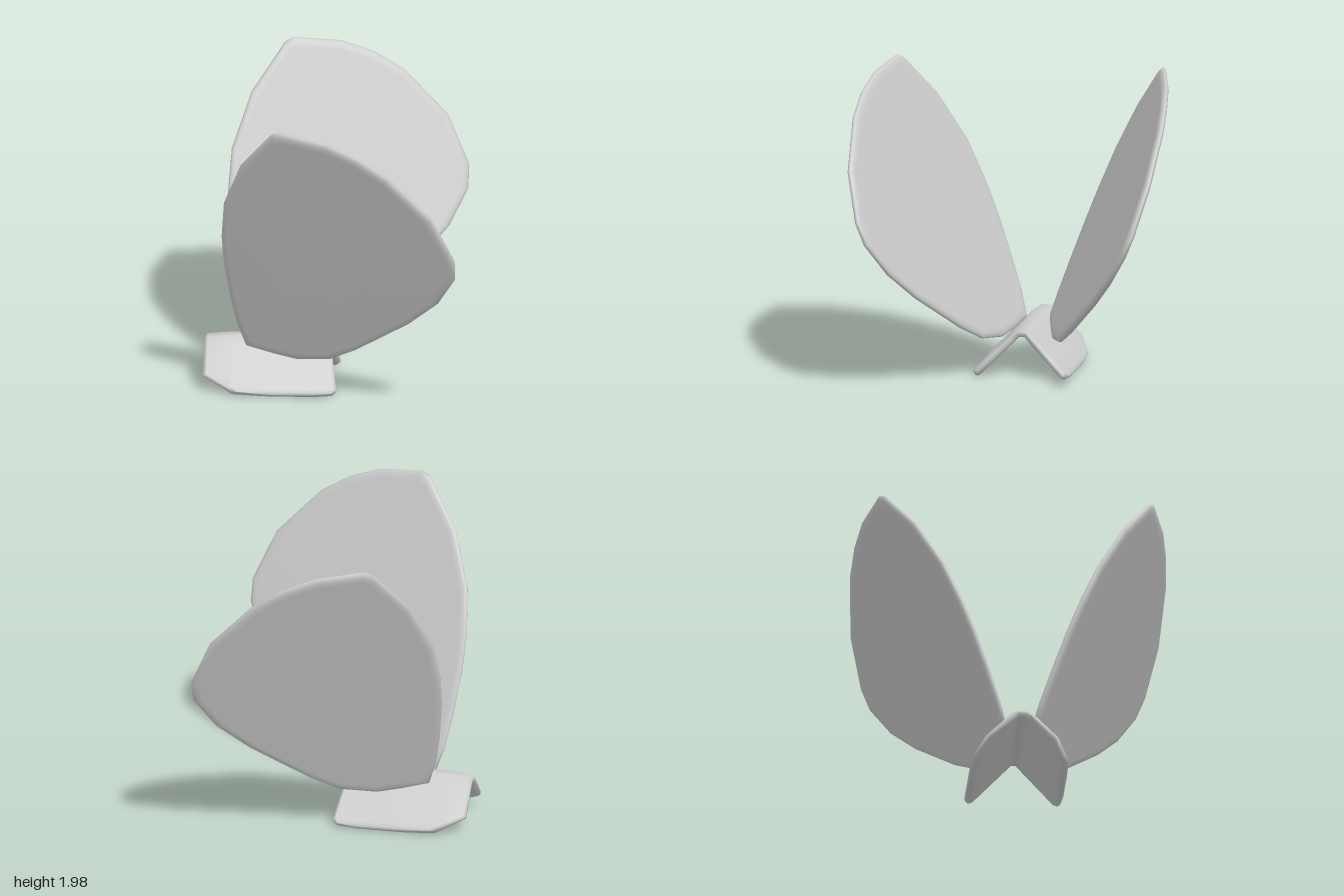
import * as THREE from 'three';

// Closed skin through equal-length rings, with a fan cap at each end.
function loft(rings) {
  const n = rings[0].length;
  const points = rings.flat();
  const index = [];
  for (let r = 0; r < rings.length - 1; r++) {
    for (let i = 0; i < n; i++) {
      const j = (i + 1) % n;
      const a = r * n + i, b = r * n + j, c = a + n, d = b + n;
      index.push(a, b, d, a, d, c);
    }
  }
  for (const last of [false, true]) {
    const ring = last ? rings[rings.length - 1] : rings[0];
    const base = last ? (rings.length - 1) * n : 0;
    const centre = new THREE.Vector3();
    ring.forEach((p) => centre.addScaledVector(p, 1 / n));
    const k = points.push(centre) - 1;
    for (let i = 0; i < n; i++) {
      const a = base + i, b = base + ((i + 1) % n);
      if (last) index.push(k, a, b);
      else index.push(k, b, a);
    }
  }
  // Turn all faces outward
  let volume = 0;
  const cross = new THREE.Vector3();
  for (let i = 0; i < index.length; i += 3) {
    cross.crossVectors(points[index[i + 1]], points[index[i + 2]]);
    volume += points[index[i]].dot(cross);
  }
  if (volume < 0) index.reverse();
  const geometry = new THREE.BufferGeometry().setFromPoints(points);
  geometry.setIndex(index);
  geometry.computeVertexNormals();
  return geometry;
}

// Wing outline seen from the front
const OUTLINE = [
  [-0.3, 1.985], [-0.35, 1.96], [-0.55, 1.69], [-0.665, 1.37], [-0.685, 1.1],
  [-0.675, 0.9], [-0.64, 0.64], [-0.6, 0.43], [-0.545, 0.27], [-0.37, 0.235],
  [-0.23, 0.215], [-0.01, 0.25], [0.16, 0.35], [0.5, 0.61], [0.69, 0.8],
  [0.805, 1.01], [0.805, 1.15], [0.67, 1.45], [0.39, 1.74], [0.2, 1.86], [0, 1.94],
];

// Flat tilted blade with a rounded rim
function wingGeometry(side) {
  const bx = 0.33, cy = 0.407, half = 0.022;
  const cx = 0.0, cyMid = 1.08;
  const normal = new THREE.Vector3(-bx, -cy, 1).normalize();
  const layers = [[0.93, -1], [0.968, -0.95], [0.992, -0.55], [1, 0], [0.992, 0.55], [0.968, 0.95], [0.93, 1]];
  return loft(layers.map(([scale, offset]) => OUTLINE.map(([px, py]) => {
    const x = cx + (px - cx) * scale;
    const y = cyMid + (py - cyMid) * scale;
    const p = new THREE.Vector3(x, y, 0.08 + bx * (x + 0.545) + cy * (y - 0.27));
    p.addScaledVector(normal, offset * half);
    p.z *= side;
    return p;
  })));
}

// Folded base plate: cross-sections from one lower edge over the ridge to the other
function baseGeometry() {
  // z, left x, right x, thickness factor
  const stations = [
    [0.3, -0.45, -0.1, 0.5], [0.291, -0.63, 0.01, 0.85], [0.272, -0.67, 0.03, 1],
    [0.21, -0.81, 0.018, 1], [0.06, -0.81, -0.012, 1], [0.025, -0.81, -0.02, 1],
  ];
  const half = 0.025;
  const section = ([z, left, right, factor], side) => {
    const h = half * factor;
    const ridge = z < 0.05;
    const mid = Math.max(-0.64, left + 0.04);
    const normal = ridge
      ? new THREE.Vector3(0, 1, side * 0.4)
      : new THREE.Vector3(0, 1, side).normalize();
    return [
      [left, -0.4], [left, 0.4], [left + 0.02, 0.9], [mid, 1], [right - 0.02, 1],
      [right, 0.4], [right, -0.4], [right - 0.02, -1], [mid, -1], [left + 0.02, -0.9],
    ].map(([x, o]) => {
      const drop = ridge && x < -0.7 ? 0.012 : 0;
      return new THREE.Vector3(x, 0.315 - z - drop, side * z).addScaledVector(normal, o * h);
    });
  };
  return loft([
    ...stations.map((s) => section(s, 1)),
    ...stations.slice().reverse().map((s) => section(s, -1)),
  ]);
}

export function createModel() {
  const group = new THREE.Group();
  const grey = new THREE.MeshStandardMaterial({ color: 0xcccccc });
  grey.name = 'light grey';

  const add = (name, geometry) => {
    const mesh = new THREE.Mesh(geometry, grey);
    mesh.name = name;
    group.add(mesh);
  };
  add('frontWing', wingGeometry(1));
  add('backWing', wingGeometry(-1));
  add('foldedBase', baseGeometry());
  return group;
}
